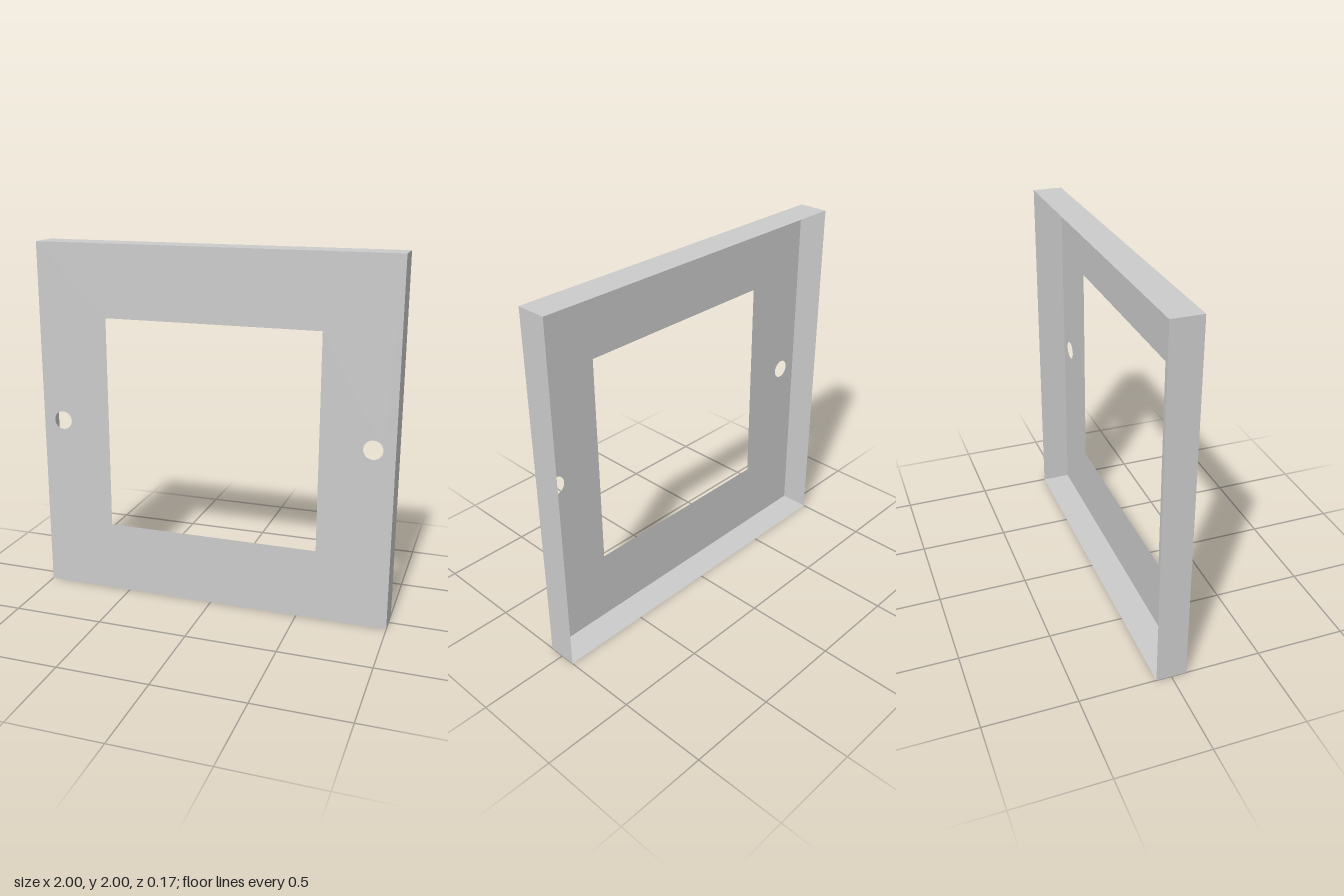
import * as THREE from 'three';

const HALF = 1;        // half of the outer side
const OPENING = 0.6;   // half of the square window
const DEPTH = 0.166;   // depth of the folded rim
const HOLE_X = 0.883;
const HOLE_R = 0.052;

function square(target, h) {
  target.moveTo(-h, -h);
  target.lineTo(h, -h);
  target.lineTo(h, h);
  target.lineTo(-h, h);
  target.closePath();
  return target;
}

export function createModel() {
  const model = new THREE.Group();
  model.name = 'coverFrame';
  // thin sheet, open at the back
  const material = new THREE.MeshStandardMaterial({ color: 0xcccccc, side: THREE.DoubleSide });

  // front plate with a square window and two screw holes
  const outline = square(new THREE.Shape(), HALF);
  outline.holes.push(square(new THREE.Path(), OPENING));
  for (const side of [-1, 1]) {
    outline.holes.push(new THREE.Path().absarc(side * HOLE_X, 0, HOLE_R, 0, Math.PI * 2, true));
  }
  const plate = new THREE.Mesh(new THREE.ShapeGeometry(outline, 24), material);
  plate.name = 'frontPlate';
  plate.position.set(0, HALF, DEPTH / 2);
  model.add(plate);

  // rim folded back from each edge of the plate
  ['topRim', 'leftRim', 'bottomRim', 'rightRim'].forEach((name, i) => {
    const geometry = new THREE.PlaneGeometry(HALF * 2, DEPTH);
    geometry.rotateX(-Math.PI / 2).translate(0, HALF, 0).rotateZ(-i * Math.PI / 2);
    const rim = new THREE.Mesh(geometry, material);
    rim.name = name;
    rim.position.y = HALF;
    model.add(rim);
  });

  return model;
}
